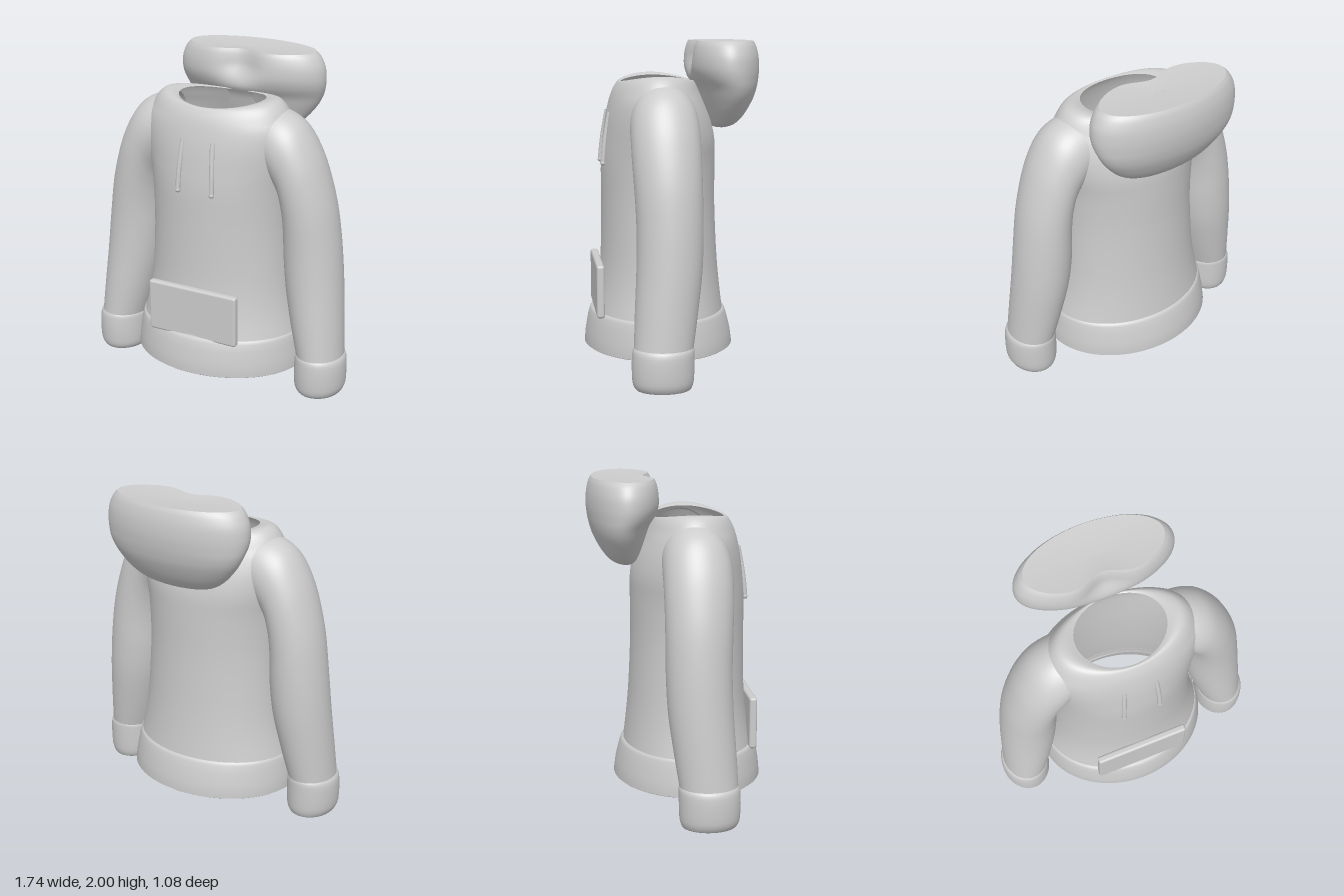
import * as THREE from 'three';
import { RoundedBoxGeometry } from 'three/addons/geometries/RoundedBoxGeometry.js';

const cloth = new THREE.MeshStandardMaterial({ color: 0xcccccc, side: THREE.DoubleSide });
cloth.name = 'grey cloth';

// Smooth skin over rings of points; rings run bottom to top
function loft(rings) {
  const n = rings[0].length, pos = [], index = [];
  for (const ring of rings) for (const p of ring) pos.push(p.x, p.y, p.z);
  for (let k = 0; k < rings.length - 1; k++) {
    for (let j = 0; j < n; j++) {
      const a = k * n + j, b = k * n + (j + 1) % n;
      index.push(a, a + n, b, b, a + n, b + n);
    }
  }
  const g = new THREE.BufferGeometry();
  g.setAttribute('position', new THREE.Float32BufferAttribute(pos, 3));
  g.setIndex(index);
  g.computeVertexNormals();
  return g;
}

// Smoothly resample a short list of section rows
function refine(rows, steps = 4) {
  const at = (i) => rows[Math.min(Math.max(i, 0), rows.length - 1)];
  const out = [];
  for (let i = 0; i < rows.length - 1; i++) {
    for (let s = 0; s < steps; s++) {
      const t = s / steps;
      out.push(rows[i].map((b, c) => {
        const a = at(i - 1)[c], d = at(i + 1)[c], e = at(i + 2)[c];
        return b + 0.5 * t * (d - a + t * (2 * a - 5 * b + 4 * d - e + t * (3 * (b - d) + e - a)));
      }));
    }
  }
  out.push(rows[rows.length - 1]);
  return out;
}

// Ellipse between an outer and an inner point, with front and back z
function ring([ox, oy, ix, iy, zf, zb], side = 1, n = 56) {
  return Array.from({ length: n }, (_, j) => {
    const t = (j / n) * Math.PI * 2, c = Math.cos(t), s = Math.sin(t) * side;
    return new THREE.Vector3(
      side * ((ox + ix) / 2 + c * (ox - ix) / 2),
      (oy + iy) / 2 + c * (oy - iy) / 2,
      (zf + zb) / 2 + s * (zf - zb) / 2);
  });
}

// Level ring from [y, half width, front z, back z]
const level = ([y, w, zf, zb]) => ring([w, y, -w, y, zf, zb], 1, 80);

export function createModel() {
  const model = new THREE.Group();
  model.name = 'hoodedSweatshirt';
  const add = (name, geometry) => {
    const mesh = new THREE.Mesh(geometry, cloth);
    mesh.name = name;
    model.add(mesh);
    return mesh;
  };

  // Torso, open at the neck and the hem; the neck rim rises at the sides
  const torso = refine([
    [0.33, 0.525, 0.487, -0.325], [0.5, 0.485, 0.455, -0.305], [0.7, 0.46, 0.435, -0.288],
    [1.0, 0.445, 0.43, -0.275], [1.25, 0.455, 0.43, -0.275], [1.4, 0.48, 0.418, -0.272],
    [1.52, 0.495, 0.403, -0.245], [1.62, 0.49, 0.382, -0.205], [1.69, 0.455, 0.36, -0.175],
    [1.735, 0.39, 0.335, -0.155], [1.755, 0.33, 0.318, -0.145], [1.752, 0.275, 0.303, -0.138],
  ]).map(level);
  for (const r of torso) for (const p of r) {
    p.y += 0.35 * p.x * p.x * THREE.MathUtils.smoothstep(p.y, 1.68, 1.75);
  }
  add('torso', loft(torso));

  // Hem band with a folded inner face
  add('hemBand', loft([
    [0.33, 0.495, 0.465, -0.3], [0.14, 0.53, 0.51, -0.355], [0.122, 0.54, 0.52, -0.365],
    [0.116, 0.552, 0.532, -0.377], [0.122, 0.56, 0.54, -0.385], [0.2, 0.552, 0.533, -0.375],
    [0.28, 0.54, 0.519, -0.356], [0.325, 0.532, 0.507, -0.342], [0.342, 0.525, 0.497, -0.333],
    [0.346, 0.515, 0.48, -0.318],
  ].map(level)));

  // Sleeves and cuffs, mirrored
  const sleeve = refine([
    [0.85, 0.24, 0.565, 0.24, 0.297, -0.05], [0.835, 0.45, 0.515, 0.43, 0.288, -0.08],
    [0.815, 0.7, 0.468, 0.65, 0.275, -0.11], [0.79, 0.95, 0.447, 0.84, 0.27, -0.12],
    [0.755, 1.18, 0.445, 0.98, 0.275, -0.12], [0.7, 1.38, 0.443, 1.08, 0.283, -0.12],
    [0.64, 1.53, 0.437, 1.15, 0.288, -0.12], [0.555, 1.662, 0.425, 1.22, 0.29, -0.12],
    [0.46, 1.727, 0.4, 1.28, 0.288, -0.12], [0.35, 1.755, 0.375, 1.34, 0.275, -0.115],
  ]);
  const cuff = [
    [0.26, 0.83, 0.585, 0.28, -0.03], [0.05, 0.835, 0.585, 0.28, -0.025],
    [0.008, 0.83, 0.59, 0.27, -0.02], [0.004, 0.842, 0.58, 0.285, -0.035],
    [0.025, 0.856, 0.565, 0.3, -0.045], [0.06, 0.867, 0.557, 0.308, -0.052],
    [0.14, 0.87, 0.555, 0.311, -0.055], [0.21, 0.867, 0.557, 0.308, -0.056],
    [0.24, 0.858, 0.56, 0.303, -0.055], [0.252, 0.845, 0.57, 0.295, -0.05],
  ].map(([y, o, i, zf, zb]) => [o, y, i, y, zf, zb]);
  for (const [side, label] of [[1, 'left'], [-1, 'right']]) {
    add(label + 'Sleeve', loft(sleeve.map((r) => ring(r, side))));
    add(label + 'Cuff', loft(refine(cuff, 2).map((r) => ring(r, side))));

    // Drawstring, sinking into the chest towards the top
    const path = new THREE.CatmullRomCurve3([
      [0.1, 1.57, 0.383], [0.106, 1.47, 0.402], [0.112, 1.36, 0.418], [0.115, 1.26, 0.427],
    ].map(([x, y, z]) => new THREE.Vector3(side * x, y, z)));
    add(label + 'Drawstring', new THREE.TubeGeometry(path, 20, 0.015, 10));
    const tip = add(label + 'DrawstringTip', new THREE.SphereGeometry(0.0165, 14, 10));
    tip.position.set(side * 0.115, 1.26, 0.427);
  }

  // Hood, with a hollow in the middle of its front
  const hollow = (r, size = 1) => {
    for (const p of r) {
      if (p.z < -0.3) continue;
      const k = Math.exp(-((p.x / 0.13) ** 2)) * size;
      p.z -= k * 0.08 * THREE.MathUtils.smoothstep(p.y, 1.75, 1.92);
    }
    return r;
  };
  const hood = refine([
    [1.468, 0.01, -0.3, -0.31], [1.472, 0.13, -0.262, -0.35], [1.5, 0.25, -0.235, -0.405],
    [1.56, 0.345, -0.21, -0.455], [1.65, 0.425, -0.18, -0.503], [1.72, 0.465, -0.155, -0.525],
    [1.78, 0.485, -0.115, -0.536], [1.84, 0.492, -0.092, -0.541], [1.91, 0.484, -0.09, -0.537],
    [1.97, 0.455, -0.1, -0.523], [2.0, 0.425, -0.112, -0.508],
  ]).map(level);
  add('hood', loft(hood.map((r) => hollow(r))));

  // Slightly dished top of the hood
  const lid = [1, 0.85, 0.6, 0.3, 0.01].map((k) => hollow(
    level([2 - 0.012 * (1 - k * k), 0.425 * k, -0.31 + 0.198 * k, -0.31 - 0.198 * k]), k));
  add('hoodTop', loft(lid));

  // Front pouch pocket
  const pocket = add('pocket', new RoundedBoxGeometry(0.604, 0.325, 0.048, 4, 0.016));
  pocket.position.set(0, 0.492, 0.458);

  return model;
}
